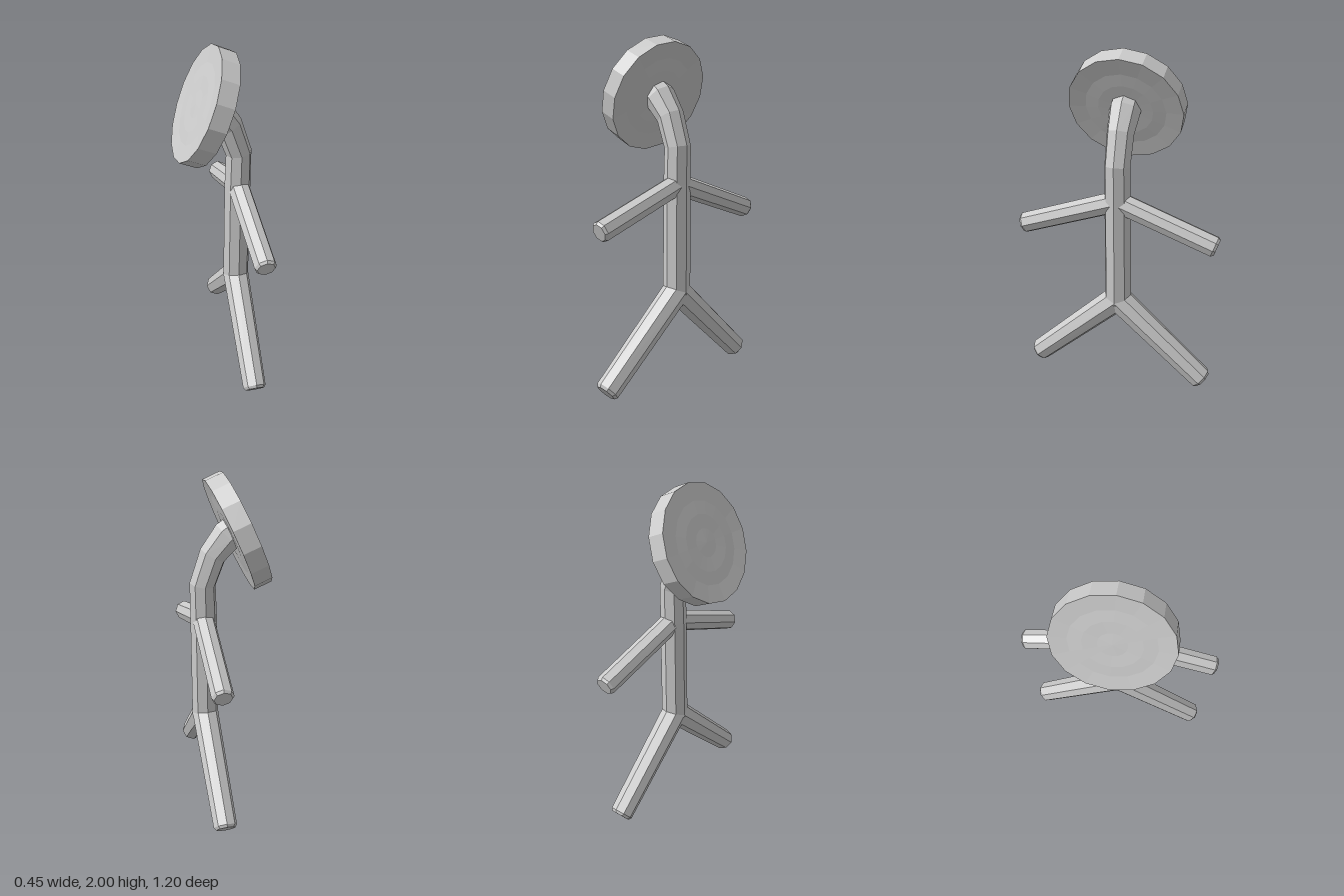
import * as THREE from 'three';

const SIDES = 8;
const material = new THREE.MeshStandardMaterial({ color: 0xcccccc, flatShading: true });

// Closed eight-sided limb along a bent path with mitred corners.
// path: [x, y, z, radius]; side: the direction square to the bends.
function limb(name, path, side) {
  const pts = path.map(([x, y, z]) => new THREE.Vector3(x, y, z));
  const last = pts.length - 1;
  const dirs = pts.slice(1).map((p, i) => p.clone().sub(pts[i]).normalize());
  const positions = [];
  pts.forEach((p, i) => {
    const before = dirs[Math.max(i - 1, 0)];
    const after = dirs[Math.min(i, last - 1)];
    const t = before.clone().add(after).normalize();
    const u = side.clone().addScaledVector(t, -side.dot(t)).normalize();
    const v = t.clone().cross(u).divideScalar(t.dot(after));
    for (let j = 0; j < SIDES; j++) {
      const a = (j / SIDES) * Math.PI * 2;
      const r = path[i][3];
      const q = p.clone().addScaledVector(u, r * Math.cos(a)).addScaledVector(v, r * Math.sin(a));
      positions.push(q.x, q.y, q.z);
    }
  });
  const index = [];
  for (let i = 0; i < last; i++) {
    for (let j = 0; j < SIDES; j++) {
      const k = (j + 1) % SIDES;
      const a = i * SIDES + j, b = i * SIDES + k;
      index.push(a, b, b + SIDES, a, b + SIDES, a + SIDES);
    }
  }
  // End caps
  const e = last * SIDES;
  for (let j = 1; j < SIDES - 1; j++) index.push(0, j + 1, j, e, e + j, e + j + 1);

  const geometry = new THREE.BufferGeometry();
  geometry.setAttribute('position', new THREE.Float32BufferAttribute(positions, 3));
  geometry.setIndex(index);
  geometry.computeVertexNormals();
  const mesh = new THREE.Mesh(geometry, material);
  mesh.name = name;
  return mesh;
}

// Mirrors half a path (tip first, middle last) across z = 0
function mirrored(half) {
  const other = half.slice(0, -1).reverse().map(([x, y, z, r]) => [x, y, -z, r]);
  return [...half, ...other];
}

export function createModel() {
  const model = new THREE.Group();
  model.name = 'stickFigure';
  const xAxis = new THREE.Vector3(1, 0, 0);
  const zAxis = new THREE.Vector3(0, 0, 1);

  // Torso running up into the bent neck
  model.add(limb('torsoAndNeck', [
    [0.147, 0.52, 0, 0.08],
    [0.147, 1.17, 0, 0.078],
    [0.15, 1.38, 0, 0.075],
    [0.09, 1.55, 0, 0.079],
    [0.005, 1.655, 0, 0.092],
    [-0.03, 1.68, 0, 0.09],
  ], zAxis));

  // Both legs, joined at the hip, with bevelled feet
  model.add(limb('legs', mirrored([
    [0.14, 0.047, 0.535, 0.057],
    [0.14, 0.058, 0.522, 0.07],
    [0.147, 0.535, 0, 0.08],
  ]), xAxis));

  // Both arms, joined at the shoulders, with bevelled hands
  model.add(limb('arms', mirrored([
    [0.162, 0.963, 0.583, 0.051],
    [0.162, 0.968, 0.569, 0.062],
    [0.15, 1.166, 0, 0.064],
  ]), xAxis));

  // Tilted disc head with faintly dished faces
  const r = 0.335, h = 0.053;
  const face = [[0, h - 0.004], [0.08, h - 0.006], [0.16, h - 0.004], [0.235, h - 0.006], [r, h]];
  const profile = [...face.map(([x, y]) => [x, -y]), ...face.slice().reverse()]
    .map(([x, y]) => new THREE.Vector2(x, y));
  const head = new THREE.Mesh(new THREE.LatheGeometry(profile, 16), material);
  head.name = 'head';
  head.position.set(-0.05, 1.678, 0);
  head.rotation.z = THREE.MathUtils.degToRad(67.5);
  model.add(head);

  return model;
}
